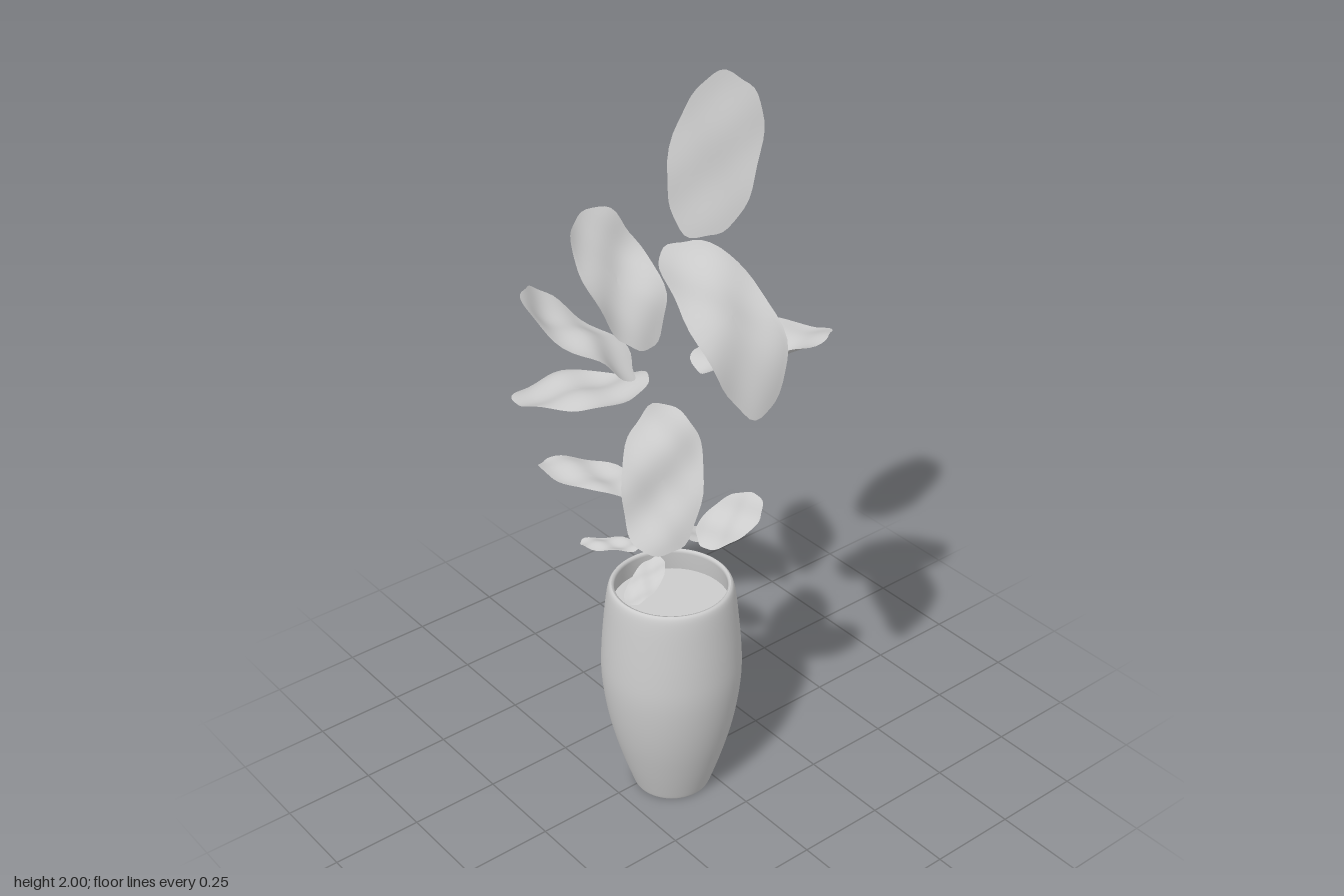
import * as THREE from 'three';

const material = new THREE.MeshStandardMaterial({ color: 0xcccccc, side: THREE.DoubleSide });

// One leaf: a rounded blade spanned by half-length l and half-width w,
// lifted along its normal by a bow, an S-curve and gentle ripples.
function makeLeaf({ c, l, w, bow = 0, s = 0, cup = 0, ripple = 0.008 }, index) {
  const L = new THREE.Vector3(...l);
  const W = new THREE.Vector3(...w);
  const N = new THREE.Vector3().crossVectors(L, W).normalize();
  if (N.y < 0) {
    W.negate();
    N.negate();
  }
  const rings = 12, sides = 48;
  const positions = [], indices = [];
  const phase = index * 1.7;
  const rounded = (t) => Math.sign(t) * Math.pow(Math.abs(t), 0.92);
  for (let i = 0; i <= rings; i++) {
    for (let j = 0; j < sides; j++) {
      const a = (j / sides) * Math.PI * 2;
      const edge = 1 + 0.022 * Math.sin(5 * a + phase) + 0.016 * Math.sin(9 * a + 2 * phase);
      const r = (i / rings) * edge;
      const u = r * rounded(Math.cos(a));
      const v = r * rounded(Math.sin(a));
      const h = bow * (0.6 - u * u) + s * Math.sin(u * 4) + cup * (v * v - 0.3)
        + ripple * Math.sin(u * 5 + phase) * Math.cos(v * 3.2 + phase * 0.6);
      const p = new THREE.Vector3(...c).addScaledVector(L, u).addScaledVector(W, v).addScaledVector(N, h);
      positions.push(p.x, p.y, p.z);
      if (i < rings) {
        const k = (j + 1) % sides;
        const p0 = i * sides + j, p1 = i * sides + k;
        const q0 = p0 + sides, q1 = p1 + sides;
        if (i > 0) indices.push(p0, q0, p1);
        indices.push(p1, q0, q1);
      }
    }
  }
  const geometry = new THREE.BufferGeometry();
  geometry.setAttribute('position', new THREE.Float32BufferAttribute(positions, 3));
  geometry.setIndex(indices);
  geometry.computeVertexNormals();
  const mesh = new THREE.Mesh(geometry, material);
  mesh.name = `leaf${index + 1}`;
  return mesh;
}

// Leaf centres, half-length and half-width vectors, from top to bottom
const leaves = [
  { c: [-0.015, 1.798, -0.092], l: [0, 0.198, -0.055], w: [0.07, -0.022, -0.08], ripple: 0.004 },
  { c: [0.312, 1.56, 0.155], l: [0.163, -0.158, 0], w: [0, 0, 0.117], bow: 0.075, s: 0.006, ripple: 0.01 },
  { c: [-0.1, 1.51, 0.142], l: [-0.108, 0.152, 0.01], w: [0.008, 0, 0.106], s: -0.008, cup: 0.02, ripple: 0.01 },
  { c: [-0.18, 1.35, 0.21], l: [-0.138, 0.087, 0.07], w: [0.05, 0.013, 0.077], s: -0.012, ripple: 0.011 },
  { c: [0.118, 1.32, -0.14], l: [0.07, 0.02, -0.167], w: [0.085, 0, 0.036], cup: 0.025, ripple: 0.014 },
  { c: [-0.285, 1.115, 0.135], l: [-0.17, -0.05, 0.088], w: [0.05, 0, 0.1], s: 0.006, ripple: 0.012 },
  { c: [0.115, 1.05, 0.18], l: [0.073, -0.16, 0.072], w: [0.05, -0.02, -0.09], bow: 0.015, s: -0.006, ripple: 0.012 },
  { c: [-0.145, 0.946, 0.2], l: [-0.12, 0.018, 0.083], w: [0.04, 0, 0.056], ripple: 0.008 },
  { c: [0.15, 0.87, -0.01], l: [0.055, 0.06, -0.062], w: [0.05, -0.03, 0.02], ripple: 0.005 },
  { c: [-0.085, 0.76, 0.192], l: [-0.066, -0.003, 0.053], w: [0.02, 0, 0.026], ripple: 0.005 },
  { c: [0.1, 0.757, 0.225], l: [0.03, -0.025, 0.073], w: [0.038, 0, -0.013], ripple: 0.005 },
  { c: [0.03, 0.755, -0.042], l: [0, -0.022, -0.08], w: [0.045, 0, 0], ripple: 0.003 },
];

export function createModel() {
  const model = new THREE.Group();

  // Barrel-shaped vase with a thin rim and an inner wall
  const outline = [
    [0.105, 0], [0.111, 0.015], [0.137, 0.095], [0.163, 0.19], [0.181, 0.285], [0.19, 0.38], [0.187, 0.47],
    [0.178, 0.57], [0.171, 0.625], [0.165, 0.648], [0.158, 0.655],
  ].map(([r, y]) => new THREE.Vector2(r, y));
  const profile = new THREE.SplineCurve(outline).getPoints(40);
  const shell = new THREE.Mesh(new THREE.LatheGeometry(profile, 64), material);
  shell.name = 'vaseBody';

  const lip = new THREE.Mesh(new THREE.LatheGeometry([
    [0.158, 0.655], [0.152, 0.653], [0.15, 0.645], [0.157, 0.59],
  ].map(([r, y]) => new THREE.Vector2(r, y)), 64), material);
  lip.name = 'vaseRim';

  const base = new THREE.Mesh(new THREE.CircleGeometry(0.105, 64).rotateX(Math.PI / 2), material);
  base.name = 'vaseBase';

  // Filling just below the rim
  const soil = new THREE.Mesh(new THREE.CircleGeometry(0.157, 64).rotateX(-Math.PI / 2), material);
  soil.position.y = 0.59;
  soil.name = 'soil';

  const vase = new THREE.Group();
  vase.name = 'vase';
  vase.position.set(0.03, 0, 0.085);
  vase.add(shell, lip, base, soil);

  // Floating foliage
  const foliage = new THREE.Group();
  foliage.name = 'foliage';
  leaves.forEach((leaf, i) => foliage.add(makeLeaf(leaf, i)));

  model.add(vase, foliage);
  return model;
}
